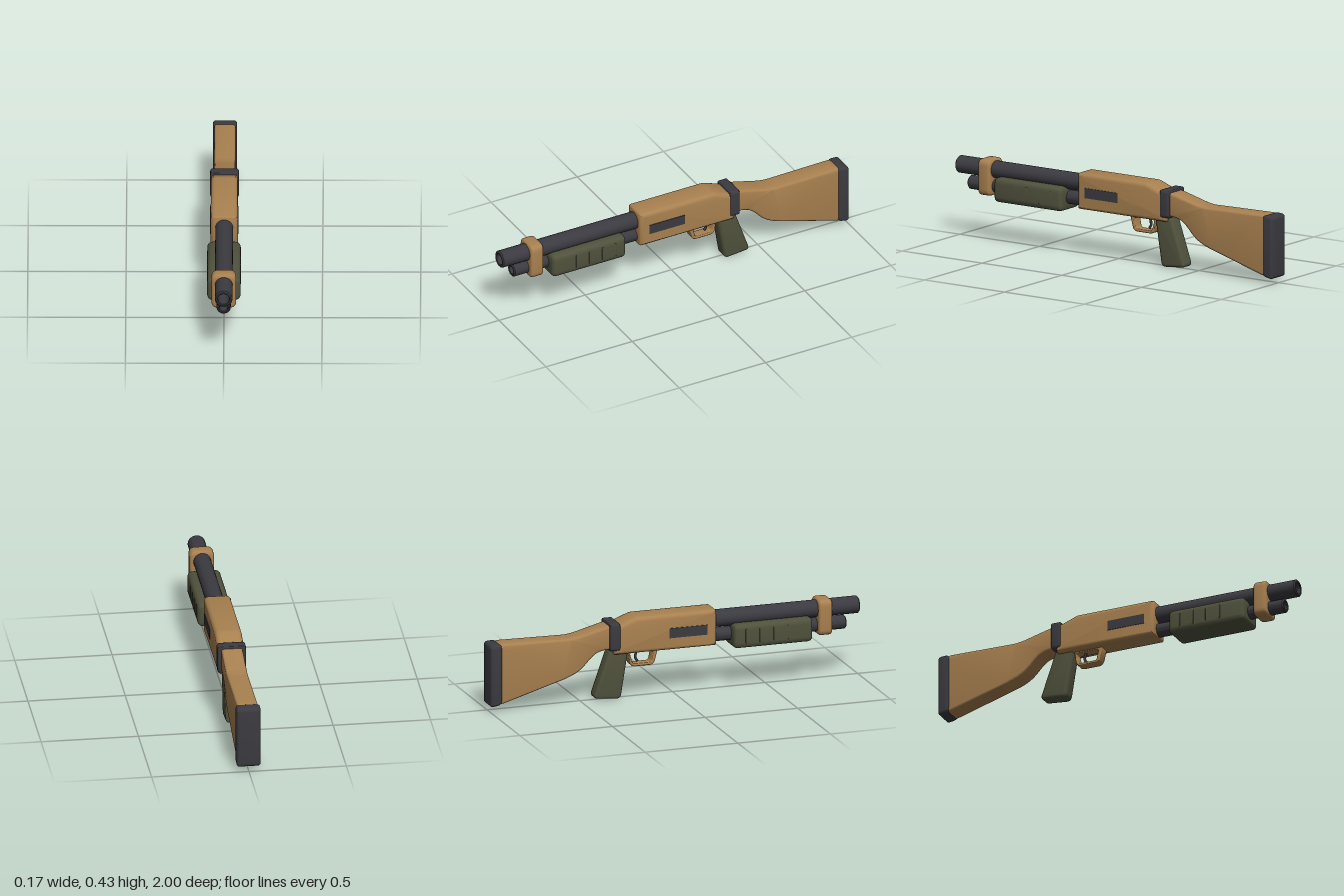
import * as THREE from 'three';
import { toCreasedNormals } from 'three/addons/utils/BufferGeometryUtils.js';

const mat = (name, color) => {
  const m = new THREE.MeshStandardMaterial({ color });
  m.name = name;
  return m;
};

// Closed outline through [a, y] points with softened corners
function outline(points, r, Type = THREE.Shape) {
  const v = points.map(([a, b]) => new THREE.Vector2(a, b));
  const s = new Type();
  v.forEach((p, i) => {
    const toward = (q) => {
      const d = q.clone().sub(p);
      return p.clone().add(d.setLength(Math.min(r, d.length() * 0.45)));
    };
    const a = toward(v[(i + v.length - 1) % v.length]);
    const b = toward(v[(i + 1) % v.length]);
    if (i === 0) s.moveTo(a.x, a.y); else s.lineTo(a.x, a.y);
    s.quadraticCurveTo(p.x, p.y, b.x, b.y);
  });
  s.closePath();
  return s;
}

// Bevelled extrusion, centred on its depth
function extrude(shape, depth, bevel) {
  const g = new THREE.ExtrudeGeometry(shape, {
    depth: depth - 2 * bevel, bevelEnabled: true, bevelThickness: bevel, bevelSize: bevel,
    bevelOffset: -bevel, bevelSegments: 3, curveSegments: 5,
  });
  return g.translate(0, 0, bevel - depth / 2);
}

// Side profile given as [z, y], extruded across x
function sideProfile(points, width, bevel, r, hole) {
  const flip = (list) => list.map(([z, y]) => [-z, y]);
  const shape = outline(flip(points), r);
  if (hole) shape.holes.push(outline(flip(hole), 0.012, THREE.Path));
  return toCreasedNormals(extrude(shape, width, bevel).rotateY(Math.PI / 2), 0.6);
}

// Front-facing rounded block between two heights and two depths
function frontBlock(halfW, y0, y1, z0, z1, r, bevel) {
  const s = outline([[-halfW, y0], [halfW, y0], [halfW, y1], [-halfW, y1]], r);
  return toCreasedNormals(extrude(s, z1 - z0, bevel).translate(0, 0, (z0 + z1) / 2), 0.6);
}

// Hollow pipe along z with a chamfered mouth
function pipe(outer, inner, y, z0, z1) {
  const b = 0.006;
  const pts = [[outer, z0], [outer, z1 - b], [outer - b, z1], [inner + b / 2, z1],
    [inner, z1 - b / 2], [inner, z0]].map(([a, c]) => new THREE.Vector2(a, c));
  const g = new THREE.LatheGeometry(pts, 28).rotateX(Math.PI / 2).translate(0, y, 0);
  return toCreasedNormals(g, 0.6);
}

export function createModel() {
  const tan = mat('tan', 0xa98150);
  const dark = mat('charcoal', 0x3b3a40);
  const olive = mat('olive', 0x50523d);
  const model = new THREE.Group();
  const add = (name, geometry, material) => {
    const m = new THREE.Mesh(geometry, material);
    m.name = name;
    model.add(m);
    return m;
  };

  // Barrel, lower tube and the band that joins them
  add('barrel', pipe(0.045, 0.029, 0.372, 0.18, 1), dark);
  add('lowerTube', pipe(0.036, 0.021, 0.287, 0.18, 0.93), dark);
  add('frontBand', frontBlock(0.063, 0.238, 0.427, 0.772, 0.845, 0.034, 0.014), tan);

  // Sliding forend with fine ribs
  add('forend', frontBlock(0.085, 0.22, 0.347, 0.307, 0.73, 0.03, 0.02), olive);
  for (const z of [0.595, 0.52, 0.445, 0.37]) {
    add('forendRib', frontBlock(0.087, 0.245, 0.325, z - 0.004, z + 0.004, 0.01, 0.002), olive);
  }

  // Receiver with side plates
  add('receiver', sideProfile([[0.217, 0.245], [0.217, 0.435], [-0.215, 0.435],
    [-0.335, 0.39], [-0.335, 0.245]], 0.138, 0.022, 0.012), tan);
  for (const side of [-1, 1]) {
    const plate = add('sidePlate', new THREE.BoxGeometry(0.008, 0.052, 0.205), dark);
    plate.position.set(side * 0.068, 0.336, 0.063);
  }

  // Trigger guard and trigger
  add('triggerGuard', sideProfile([[-0.085, 0.255], [-0.108, 0.165], [-0.235, 0.165], [-0.25, 0.255]],
    0.054, 0.005, 0.025,
    [[-0.112, 0.238], [-0.124, 0.18], [-0.222, 0.18], [-0.238, 0.238]]), tan);
  const triggerPath = new THREE.CatmullRomCurve3([[0.26, -0.185], [0.225, -0.198], [0.205, -0.2],
    [0.187, -0.19]].map(([y, z]) => new THREE.Vector3(0, y, z)));
  add('trigger', new THREE.TubeGeometry(triggerPath, 12, 0.007, 8), dark);

  // Collar, pistol grip, stock and butt pad
  add('collar', frontBlock(0.073, 0.268, 0.413, -0.358, -0.305, 0.016, 0.006), dark);
  add('pistolGrip', sideProfile([[-0.245, 0.28], [-0.29, 0.002], [-0.437, 0.016], [-0.345, 0.28]],
    0.08, 0.016, 0.025), olive);
  add('stock', sideProfile([[-0.32, 0.405], [-0.37, 0.397], [-0.55, 0.35], [-0.965, 0.357],
    [-0.965, 0.032], [-0.57, 0.148], [-0.51, 0.18], [-0.44, 0.255], [-0.39, 0.274], [-0.32, 0.275]],
    0.108, 0.012, 0.04), tan);
  add('buttPad', sideProfile([[-0.938, 0.358], [-0.938, 0.04], [-1, 0.027], [-1, 0.354]],
    0.124, 0.014, 0.02), dark);

  return model;
}
